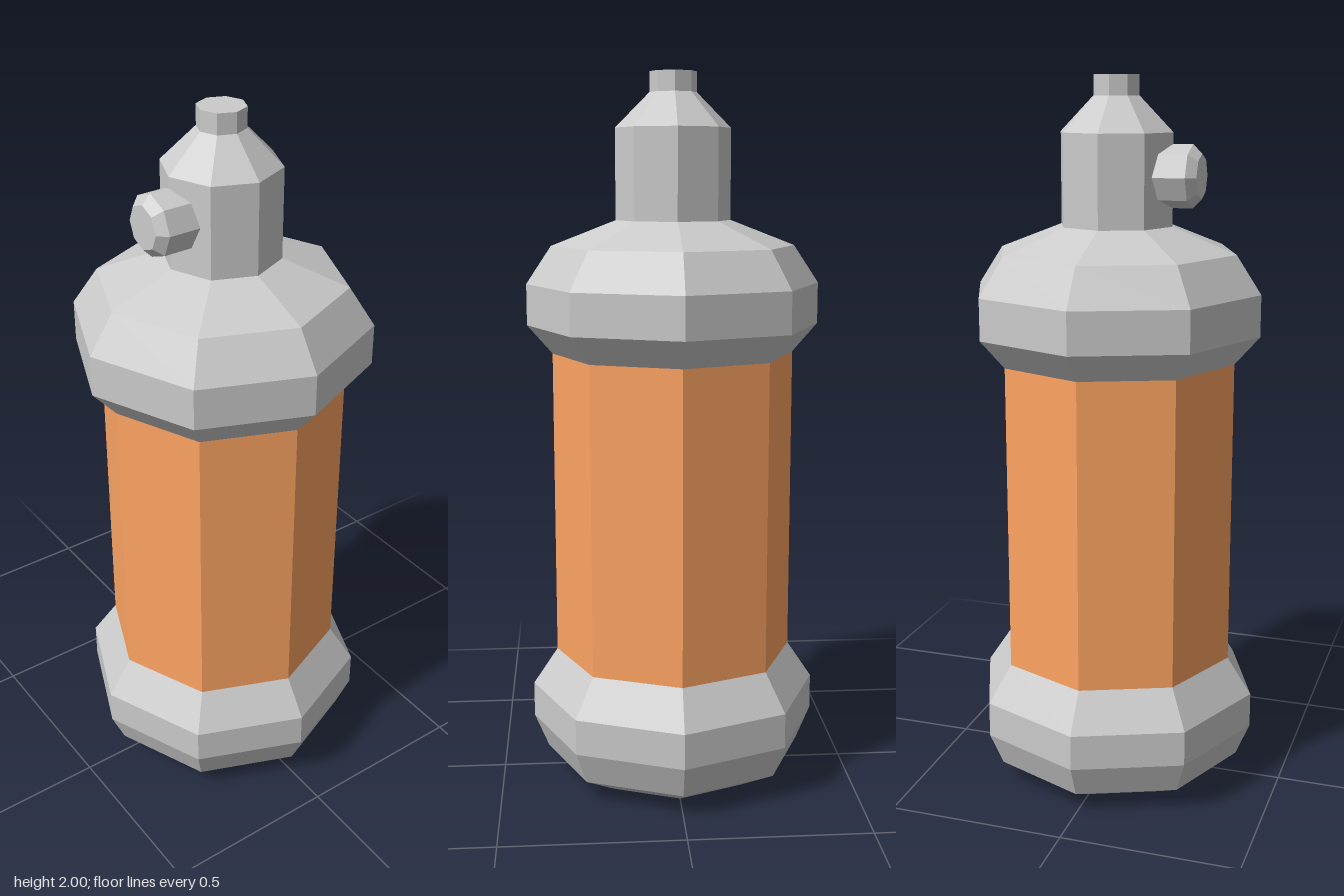
import * as THREE from 'three';

const SIDES = 8;
const grey = new THREE.MeshStandardMaterial({ color: 0xcccccc, flatShading: true });
const orange = new THREE.MeshStandardMaterial({ color: 0xffa563, flatShading: true });

// Eight-sided turned part from [radius, height] pairs, listed bottom to top
function turned(name, profile, material) {
  const points = profile.map(([r, y]) => new THREE.Vector2(r, y));
  const mesh = new THREE.Mesh(new THREE.LatheGeometry(points, SIDES), material);
  mesh.name = name;
  return mesh;
}

export function createModel() {
  const model = new THREE.Group();
  model.name = 'canister';

  // Rounded foot with a flat underside
  model.add(turned('baseCap', [
    [0, 0], [0.26, 0], [0.37, 0.06], [0.41, 0.155], [0.41, 0.255], [0.34, 0.36],
  ], grey));

  // Coloured body
  model.add(turned('body', [[0.34, 0.36], [0.34, 1.23]], orange));

  // Shoulder collar
  model.add(turned('shoulderCap', [
    [0.34, 1.23], [0.41, 1.31], [0.41, 1.425], [0.34, 1.53], [0.16, 1.6],
  ], grey));

  // Neck, tapering to a small nozzle
  model.add(turned('neck', [
    [0.16, 1.6], [0.16, 1.85], [0.065, 1.945],
  ], grey));
  model.add(turned('nozzle', [[0.065, 1.945], [0.065, 2], [0, 2]], grey));

  // Side knob pointing to the model's right, sunk into the neck
  const knob = turned('sideKnob', [
    [0, 0], [0.085, 0], [0.085, 0.115], [0.06, 0.14], [0, 0.14],
  ], grey);
  knob.rotation.z = Math.PI / 2;
  knob.position.set(-0.1, 1.735, 0);
  model.add(knob);

  return model;
}
